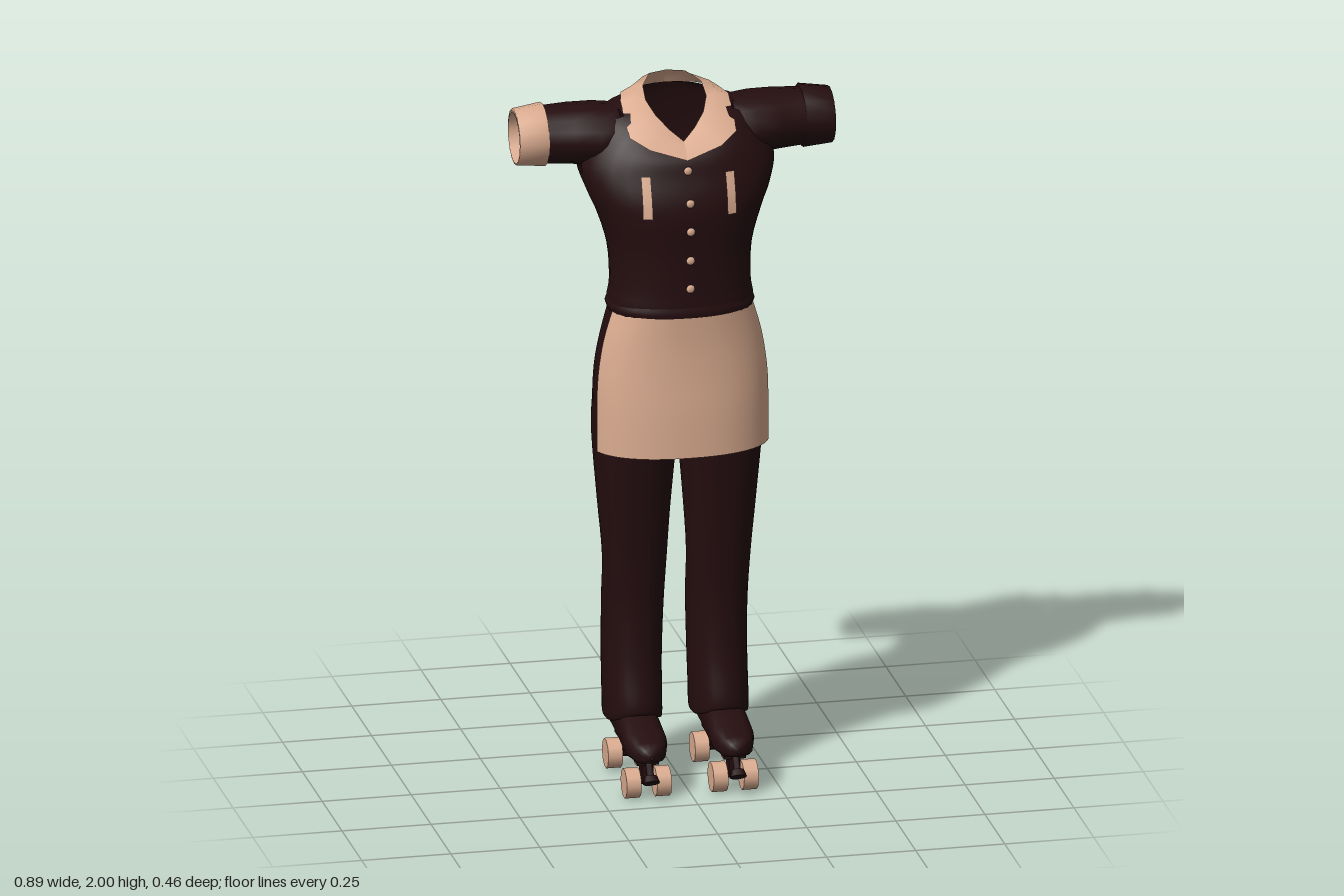
import * as THREE from 'three';

const dark = new THREE.MeshStandardMaterial({ color: 0x240d0f, side: THREE.DoubleSide });
dark.name = 'dark cloth';
const peach = new THREE.MeshStandardMaterial({ color: 0xdbac90, side: THREE.DoubleSide });
peach.name = 'peach trim';

function add(parent, name, geometry, material, x = 0, y = 0, z = 0) {
  const mesh = new THREE.Mesh(geometry, material);
  mesh.name = name;
  mesh.position.set(x, y, z);
  parent.add(mesh);
  return mesh;
}

// Surface through rows of points; closed rows wrap around, keep() can cut holes
function skin(rows, closed, keep = () => true) {
  const w = rows[0].length, pos = rows.flat().flat(), idx = [];
  const cols = closed ? w : w - 1;
  for (let i = 0; i < rows.length - 1; i++) for (let j = 0; j < cols; j++) {
    const k = (j + 1) % w;
    const quad = [rows[i][j], rows[i][k], rows[i + 1][k], rows[i + 1][j]];
    const mid = [0, 1, 2].map(c => quad.reduce((s, p) => s + p[c] / 4, 0));
    if (!keep(mid)) continue;
    const a = i * w + j, b = i * w + k, c = b + w, d = a + w;
    idx.push(a, d, b, b, d, c);
  }
  const g = new THREE.BufferGeometry();
  g.setAttribute('position', new THREE.Float32BufferAttribute(pos, 3));
  g.setIndex(idx);
  g.computeVertexNormals();
  return g;
}

// Smoothly inserts in-between sections
function refine(list, n) {
  const out = [];
  for (let i = 0; i < list.length - 1; i++) {
    const a = list[Math.max(0, i - 1)], b = list[i], c = list[i + 1], d = list[Math.min(list.length - 1, i + 2)];
    for (let s = 0; s < n; s++) {
      const t = s / n;
      out.push(b.map((v, k) => v + 0.5 * t * (c[k] - a[k] + t * (2 * a[k] - 5 * v + 4 * c[k] - d[k]
        + t * (3 * (v - c[k]) + d[k] - a[k])))));
    }
  }
  out.push(list[list.length - 1]);
  return out;
}

// Horizontal ring: y at front, side and back, half width, front z, back z, centre z, centre x
function ring([yf, ys, yb, rx, zf, zb, cz, cx], from = 0, to = Math.PI * 2, n = 32, closed = true) {
  const pts = [];
  for (let j = 0; j < n; j++) {
    const a = from + (to - from) * j / (closed ? n : n - 1), c = Math.cos(a), s = Math.sin(a);
    const x = cx + rx * Math.sign(c) * Math.abs(c) ** 0.87;
    const m = Math.abs(s) ** 0.87;
    pts.push([x, ys + ((s > 0 ? yf : yb) - ys) * s * s, cz + m * ((s > 0 ? zf : zb) - cz)]);
  }
  return pts;
}
const flat = ([y, rx, zf, zb, cx = 0]) => [y, y, y, rx, zf, zb, (zf + zb) / 2, cx];
const loft = (rings, keep, n = 4) => skin(refine(rings, n).map(r => ring(r)), true, keep);

// Sleeve section standing across x: x, bottom, top, back z, front z
function tubeAcross(sections, side, n = 16) {
  return skin(sections.map(([x, y0, y1, z0, z1]) => Array.from({ length: n }, (_, j) => {
    const a = j / n * Math.PI * 2;
    return [side * x, (y0 + y1) / 2 + Math.sin(a) * (y1 - y0) / 2, (z0 + z1) / 2 + Math.cos(a) * (z1 - z0) / 2];
  })), true);
}

function buildShirt(root) {
  const shirt = new THREE.Group();
  shirt.name = 'shirt';
  root.add(shirt);
  const rings = [
    ...[[1.375, 0.195, 0.155, -0.12], [1.41, 0.202, 0.156, -0.12], [1.46, 0.195, 0.154, -0.117],
      [1.56, 0.2, 0.155, -0.135], [1.66, 0.23, 0.16, -0.16], [1.72, 0.255, 0.152, -0.178]].map(flat),
    [1.78, 1.79, 1.79, 0.275, 0.13, -0.186, -0.05, 0],
    [1.82, 1.86, 1.87, 0.25, 0.115, -0.183, -0.07, 0],
    [1.845, 1.925, 1.93, 0.2, 0.095, -0.175, -0.075, 0],
    [1.86, 1.95, 1.96, 0.13, 0.083, -0.167, -0.07, 0]];
  // Armholes are left open so the sleeves lead into the body
  const keep = ([x, y, z]) => !(Math.abs(x) > 0.15 && Math.abs(y - 1.855) < 0.078 && Math.abs(z + 0.08) < 0.078);
  const torso = add(shirt, 'torso', loft(rings, keep), dark);

  const sleeve = [[0.16, 1.775, 1.94, -0.178, 0.03], [0.22, 1.775, 1.947, -0.187, 0.04],
    [0.29, 1.78, 1.946, -0.183, 0.02], [0.37, 1.785, 1.942, -0.17, 0.003], [0.42, 1.79, 1.937, -0.16, -0.002]];
  const cuff = [[0.36, 1.785, 1.94, -0.17, 0], [0.362, 1.776, 1.952, -0.177, 0.007], [0.443, 1.785, 1.942, -0.16, 0.002],
    [0.444, 1.79, 1.93, -0.154, -0.004], [0.38, 1.79, 1.93, -0.154, -0.004]];
  for (const side of [-1, 1]) {
    add(shirt, side > 0 ? 'leftSleeve' : 'rightSleeve', tubeAcross(sleeve, side), dark);
    add(shirt, side > 0 ? 'leftCuff' : 'rightCuff', tubeAcross(cuff, side), side > 0 ? dark : peach);
  }

  // Collar halves: neck edge and draped outer edge, from the back to the front
  const inner = [[0, 2, -0.153], [0.05, 1.998, -0.14], [0.082, 1.985, -0.08], [0.085, 1.96, -0.03],
    [0.067, 1.93, 0.015], [0.036, 1.897, 0.045], [0, 1.868, 0.07]];
  const outer = [[0, 1.952, -0.181], [0.08, 1.952, -0.172], [0.135, 1.957, -0.12], [0.152, 1.956, -0.05],
    [0.15, 1.885, 0.062], [0.1, 1.858, 0.1], [0, 1.828, 0.12]];
  // Roll of the collar between both edges
  const middle = inner.map((p, i) => p.map((v, k) => (v + outer[i][k]) / 2 + (k === 1 ? 0.009 : 0)));
  for (const side of [-1, 1]) {
    const rows = [inner, middle, outer].map(r => r.map(([x, y, z]) => [x * side, y, z]));
    add(shirt, 'collar', skin(rows, false), peach);
  }

  // Pocket trims and buttons rest on the chest
  torso.updateMatrixWorld(true);
  const front = (x, y) => {
    const ray = new THREE.Raycaster(new THREE.Vector3(x, y, 1), new THREE.Vector3(0, 0, -1));
    return ray.intersectObject(torso)[0].point.z;
  };
  for (const side of [-1, 1]) {
    const rows = [1.675, 1.705, 1.735, 1.765, 1.79].map(y =>
      [0.105, 0.118, 0.131].map(x => [x * side, y, front(x * side, y) + 0.006]));
    add(shirt, 'pocketTrim', skin(rows, false), peach);
  }
  for (const y of [1.8, 1.715, 1.635, 1.55, 1.468]) {
    const button = add(shirt, 'button', new THREE.SphereGeometry(0.012, 10, 6), peach, 0, y, front(0, y) + 0.002);
    button.scale.z = 0.5;
  }
}

function buildTrousers(root) {
  const trousers = new THREE.Group();
  trousers.name = 'trousers';
  root.add(trousers);
  add(trousers, 'hips', loft([[1.42, 0.188, 0.14, -0.112], [1.3, 0.213, 0.143, -0.155], [1.2, 0.23, 0.143, -0.166],
    [1.09, 0.234, 0.135, -0.16], [1.03, 0.215, 0.1, -0.135], [1, 0.05, 0.03, -0.05]].map(flat)), dark);
  for (const side of [-1, 1]) {
    const leg = [[1.1, 0.115, 0.125, -0.155, 0.118], [1, 0.115, 0.112, -0.152, 0.12], [0.8, 0.099, 0.085, -0.131, 0.12],
      [0.65, 0.088, 0.066, -0.115, 0.118], [0.5, 0.083, 0.054, -0.157, 0.118], [0.35, 0.08, 0.06, -0.17, 0.12],
      [0.24, 0.079, 0.078, -0.165, 0.121]].map(flat);
    leg.push([0.21, 0.175, 0.143, 0.077, 0.075, -0.155, -0.04, 0.121]);
    leg.push([0.215, 0.185, 0.155, 0.06, 0.055, -0.14, -0.04, 0.121]);
    leg.forEach(r => { r[7] *= side; });
    add(trousers, side > 0 ? 'leftLeg' : 'rightLeg', loft(leg), dark);
  }
}

function buildApron(root) {
  const apron = new THREE.Group();
  apron.name = 'apron';
  root.add(apron);
  const panel = [[1.385, 0.205, 0.162], [1.3, 0.23, 0.158], [1.2, 0.246, 0.16], [1.1, 0.25, 0.165], [0.98, 0.25, 0.167]]
    .map(([y, rx, zf]) => [y, y, y, rx, zf, -0.15, 0, 0]);
  add(apron, 'apronPanel', skin(refine(panel, 3).map(r => ring(r, 0.29, Math.PI - 0.29, 25, false)), false), peach);
  add(apron, 'waistTie', loft([[1.378, 0.2, 0.158, -0.126], [1.395, 0.206, 0.16, -0.128], [1.412, 0.2, 0.157, -0.125]].map(flat)), dark);
  // Knot, bow loops and hanging ends at the back
  add(apron, 'knot', new THREE.SphereGeometry(0.018, 10, 8), dark, 0, 1.41, -0.13);
  const path = refine([[1.425, -0.125], [1.27, -0.172], [1.1, -0.206], [0.96, -0.226], [0.885, -0.228]], 4);
  for (const side of [-1, 1]) {
    const rows = path.map(([y, z], i) => {
      const x = side * (0.01 + 0.024 * Math.min(1, i / 8)), w = 0.012 + 0.012 * i / (path.length - 1);
      return [[x - w, y, z], [x + w, y, z]];
    });
    add(apron, 'hangingTie', skin(rows, false), dark);
    const loop = add(apron, 'bowLoop', new THREE.TorusGeometry(0.035, 0.006, 6, 16), dark, side * 0.03, 1.375, -0.148);
    loop.scale.set(0.6, 1.2, 1);
    loop.rotation.z = side * 0.5;
  }
}

function buildSkate(root, side) {
  const skate = new THREE.Group();
  skate.name = side > 0 ? 'leftSkate' : 'rightSkate';
  skate.position.x = side * 0.122;
  root.add(skate);
  // Boot sections along z: half width, sole height, top height
  const boot = [[0.218, 0.004, 0.13, 0.14], [0.212, 0.025, 0.118, 0.158], [0.19, 0.046, 0.11, 0.17], [0.14, 0.06, 0.108, 0.184],
    [0.06, 0.058, 0.11, 0.215], [-0.05, 0.054, 0.112, 0.24], [-0.12, 0.05, 0.112, 0.23], [-0.142, 0.03, 0.115, 0.2], [-0.145, 0.003, 0.14, 0.16]];
  add(skate, 'boot', skin(boot.map(([z, w, y0, y1]) => Array.from({ length: 16 }, (_, j) => {
    const a = j / 16 * Math.PI * 2, s = Math.sin(a), c = Math.cos(a);
    return [w * Math.sign(c) * Math.abs(c) ** 0.7, (y0 + y1) / 2 + Math.sign(s) * Math.abs(s) ** 0.7 * (y1 - y0) / 2, z];
  })), true), dark);
  add(skate, 'plate', new THREE.BoxGeometry(0.06, 0.014, 0.29), dark, 0, 0.105, 0.025);
  for (const z of [0.145, -0.09]) {
    add(skate, 'truck', new THREE.BoxGeometry(0.032, 0.06, 0.035), dark, 0, 0.075, z);
    add(skate, 'axle', new THREE.CylinderGeometry(0.01, 0.01, 0.11, 8), dark, 0, 0.046, z).rotation.z = Math.PI / 2;
    for (const s of [-1, 1]) {
      add(skate, 'wheel', new THREE.CylinderGeometry(0.042, 0.042, 0.041, 10), peach, s * 0.0425, z > 0 ? 0.042 : 0.049, z)
        .rotation.z = Math.PI / 2;
    }
  }
  // Toe stop on its slanted stem
  add(skate, 'toeStem', new THREE.CylinderGeometry(0.01, 0.01, 0.06, 8), dark, 0, 0.085, 0.192).rotation.x = -0.6;
  add(skate, 'toeStop', new THREE.CylinderGeometry(0.018, 0.024, 0.02, 10), dark, 0, 0.067, 0.204).rotation.x = -0.6;
}

export function createModel() {
  const root = new THREE.Group();
  root.name = 'skatingUniform';
  buildShirt(root);
  buildTrousers(root);
  buildApron(root);
  for (const side of [-1, 1]) buildSkate(root, side);
  return root;
}
